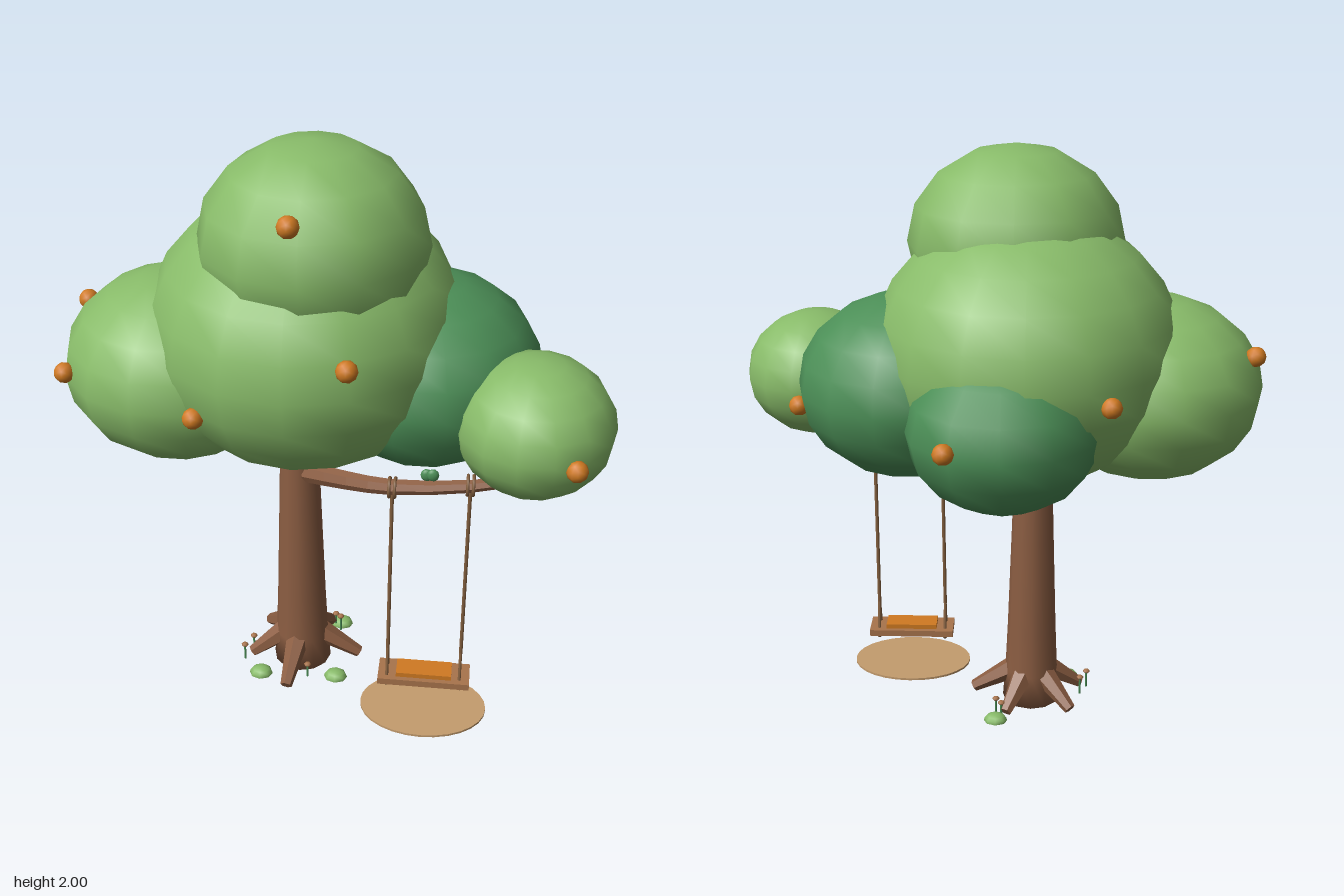
import * as THREE from 'three';

const mat = (name, color) => Object.assign(new THREE.MeshStandardMaterial({ color }), { name });

export function createModel() {
  const model = new THREE.Group();
  model.name = 'treeWithSwing';
  const leaf = mat('leafGreen', 0x88bb69);
  const darkLeaf = mat('darkLeafGreen', 0x4c8f57);
  const bark = mat('barkBrown', 0x8b5d42);
  const orange = mat('fruitOrange', 0xd07a22);
  const plank = mat('plankBrown', 0xa8744c);
  const rope = mat('ropeBrown', 0x84603f);
  const sand = mat('sandTan', 0xc49c6e);

  const V = (x, y, z) => new THREE.Vector3(x, y, z);
  const add = (name, geo, material, pos = [0, 0, 0], scale = [1, 1, 1]) => {
    const m = new THREE.Mesh(geo, material);
    m.name = name;
    m.position.set(...pos);
    m.scale.set(...scale);
    model.add(m);
    return m;
  };
  // Tapered rod between two points
  const rod = (name, a, b, r0, r1, sides, material, flat = false) => {
    let geo = new THREE.CylinderGeometry(r1, r0, a.distanceTo(b), sides);
    if (flat) {
      geo = geo.toNonIndexed();
      geo.computeVertexNormals();
    }
    const m = add(name, geo, material);
    m.position.copy(a).add(b).multiplyScalar(0.5);
    m.quaternion.setFromUnitVectors(V(0, 1, 0), b.clone().sub(a).normalize());
    return m;
  };

  // Foliage: centre, radii, segments
  const clumps = [
    ['mainFoliage', leaf, [-0.1, 1.35, 0.05], [0.51, 0.45, 0.54], 16],
    ['topFoliage', leaf, [-0.06, 1.68, 0.15], [0.36, 0.32, 0.36], 12],
    ['rightFoliage', leaf, [-0.51, 1.21, 0.08], [0.38, 0.31, 0.38], 14],
    ['branchFoliage', leaf, [0.64, 1.175, 0.31], [0.25, 0.22, 0.26], 14],
    ['leftDarkFoliage', darkLeaf, [0.29, 1.22, 0.05], [0.375, 0.31, 0.38], 14],
    ['backDarkFoliage', darkLeaf, [-0.03, 1.18, -0.26], [0.32, 0.27, 0.335], 12],
  ];
  for (const [name, m, pos, scale, n] of clumps)
    add(name, new THREE.SphereGeometry(1, n, n - 4), m, pos, scale);

  // Fruit
  const fruits = [
    [-0.09, 1.85, 0.46], [0.085, 1.455, 0.55], [-0.39, 1.22, 0.47], [-0.845, 1.24, 0.27],
    [-0.84, 1.35, -0.04], [0.76, 1.16, 0.54], [0.645, 1.18, -0.08], [0.14, 1.2, -0.55],
    [-0.36, 1.3, -0.41],
  ];
  const fruitGeo = new THREE.IcosahedronGeometry(0.034, 1);
  for (const p of fruits) add('fruit', fruitGeo, orange, p);

  // Trunk
  const trunkProfile = [[0, 0], [0.103, 0], [0.094, 0.12], [0.086, 0.3], [0.074, 0.65], [0.064, 0.95], [0.06, 1.1]];
  add('trunk', new THREE.LatheGeometry(trunkProfile.map(p => new THREE.Vector2(...p)), 12), bark, [-0.125, 0, 0.08]);

  // Roots: angle in degrees from +x towards +z, reach
  for (const [deg, reach] of [[2, 0.21], [98, 0.22], [165, 0.185], [225, 0.2], [298, 0.19]]) {
    const c = Math.cos(deg * Math.PI / 180), s = Math.sin(deg * Math.PI / 180);
    rod('root', V(-0.125 + 0.06 * c, 0.115, 0.08 + 0.06 * s),
      V(-0.125 + reach * c, 0.027, 0.08 + reach * s), 0.042, 0.021, 6, bark, true);
  }

  // Branch: a tapered cylinder bent along a curve
  const path = new THREE.CatmullRomCurve3([
    V(-0.11, 0.82, 0.11), V(0.05, 0.86, 0.21), V(0.205, 0.895, 0.285), V(0.455, 0.95, 0.335), V(0.66, 1.0, 0.34)]);
  let branchGeo = new THREE.CylinderGeometry(0.016, 0.037, 1, 7, 8);
  const bp = branchGeo.attributes.position;
  for (let i = 0; i < bp.count; i++) {
    const c = path.getPoint(bp.getY(i) + 0.5);
    bp.setXYZ(i, c.x, c.y - bp.getX(i), c.z + bp.getZ(i));
  }
  branchGeo = branchGeo.toNonIndexed();
  branchGeo.computeVertexNormals();
  add('branch', branchGeo, bark);

  // Leaves on the branch
  for (const [x, y, z] of [[0.315, 0.965, 0.31], [0.335, 0.975, 0.325]])
    add('branchLeaf', new THREE.IcosahedronGeometry(0.02, 1), darkLeaf, [x, y, z], [1, 1.1, 0.6]);

  // Swing ropes with their forks, knots and loops
  for (const [x, y, z] of [[0.205, 0.89, 0.285], [0.455, 0.95, 0.335]]) {
    rod('rope', V(x, 0.25, 0.313), V(x, y, z), 0.007, 0.007, 6, rope);
    for (const side of [-1, 1]) {
      const foot = 0.313 + side * 0.036;
      rod('ropeFork', V(x, 0.13, foot), V(x, 0.255, 0.313), 0.006, 0.006, 6, rope);
      add('ropeKnot', new THREE.SphereGeometry(0.01, 6, 5), rope, [x, 0.126, foot]);
    }
    for (const dx of [-0.009, 0.009]) {
      const loop = add('ropeLoop', new THREE.TorusGeometry(0.031, 0.006, 6, 14), rope, [x + dx, y + 0.003, z]);
      loop.rotation.y = Math.PI / 2;
    }
  }

  // Swing seat and cushion
  add('seat', new THREE.BoxGeometry(0.315, 0.024, 0.108), plank, [0.332, 0.143, 0.313]);
  add('cushion', new THREE.BoxGeometry(0.19, 0.018, 0.075), orange, [0.332, 0.163, 0.313]);

  // Worn sand patch
  add('sandPatch', new THREE.CylinderGeometry(1, 1, 0.008, 28), sand, [0.332, 0.004, 0.315], [0.22, 1, 0.157]);

  // Grass tufts and small flowers
  for (const [x, z] of [[-0.26, 0.21], [0.01, 0.2], [0.0, -0.1]])
    add('grassTuft', new THREE.SphereGeometry(1, 8, 4, 0, Math.PI * 2, 0, Math.PI / 2), leaf, [x, 0, z], [0.042, 0.028, 0.036]);
  for (const [x, z, h] of [[-0.33, 0.14, 0.065], [-0.305, 0.09, 0.068], [0.0, -0.06, 0.065], [-0.02, -0.08, 0.06], [-0.09, 0.21, 0.055]]) {
    rod('flowerStem', V(x, 0, z), V(x, h, z), 0.004, 0.004, 5, darkLeaf);
    add('flowerHead', new THREE.SphereGeometry(0.013, 6, 5), plank, [x, h, z], [1, 0.6, 1]);
  }
  return model;
}
